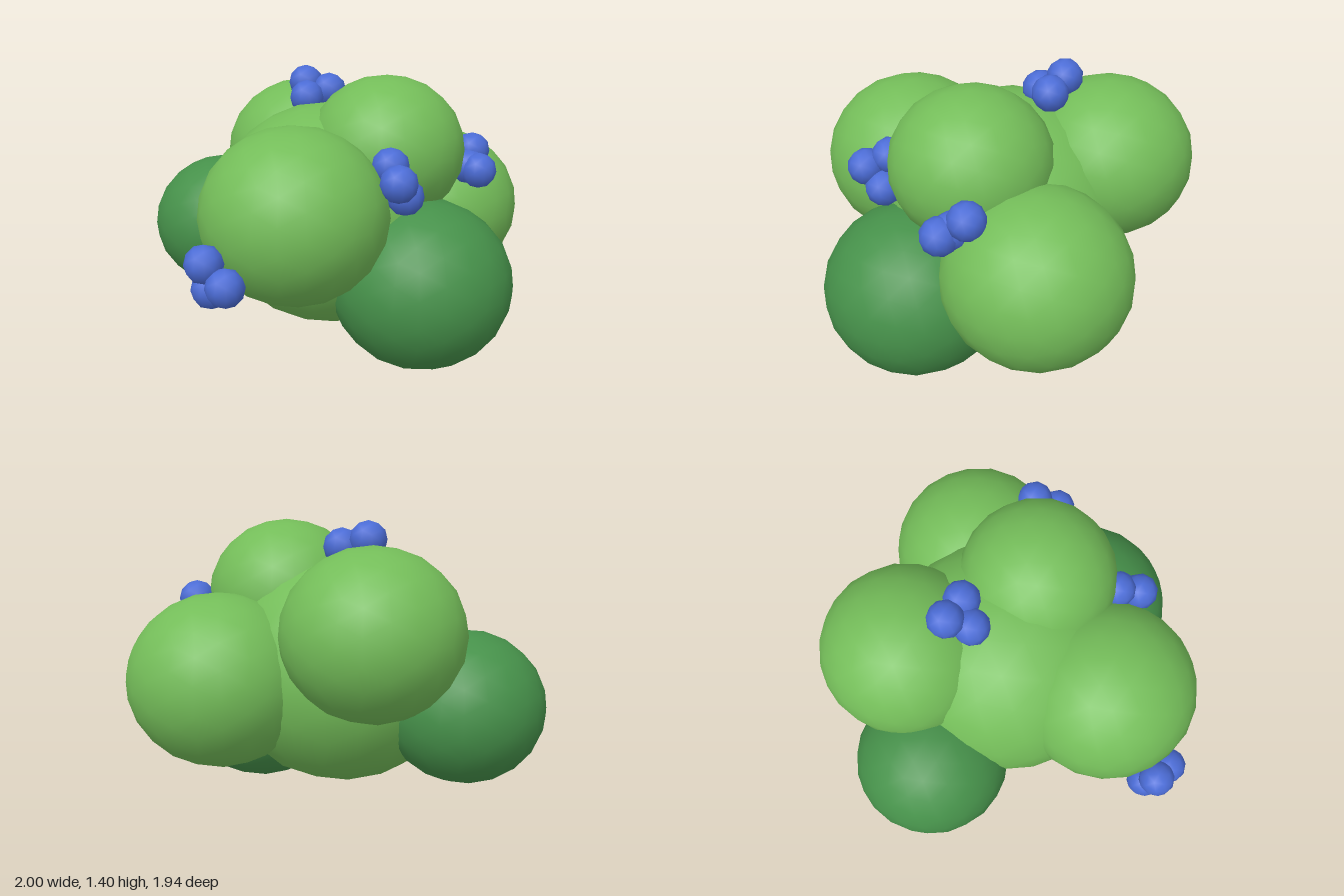
import * as THREE from 'three';

const material = (color) => new THREE.MeshStandardMaterial({ color });

export function createModel() {
  const model = new THREE.Group();
  model.name = 'berryBush';
  const light = material(0x74bd59);
  const dark = material(0x46914a);
  const blue = material(0x4b6cd6);

  // Leaf lobes: slightly squashed low-poly balls with smooth normals
  const lobeShape = new THREE.IcosahedronGeometry(1, 3);
  const lobes = [
    // name, x, y, z, radius, material
    ['coreFoliage', 0.02, 0.67, -0.1, 0.6, light],
    ['frontLobe', 0.065, 0.79, 0.44, 0.438, light],
    ['topLobe', 0.315, 1.02, -0.1, 0.385, light],
    ['backRightLobe', -0.29, 0.905, -0.475, 0.417, light],
    ['backLeftLobe', 0.45, 0.655, -0.54, 0.435, light],
    ['darkRightLobe', -0.62, 0.54, -0.155, 0.38, dark],
    ['darkLeftLobe', 0.56, 0.41, 0.06, 0.44, dark],
  ];
  for (const [name, x, y, z, r, mat] of lobes) {
    const lobe = new THREE.Mesh(lobeShape, mat);
    lobe.name = name;
    lobe.position.set(x, y, z);
    lobe.scale.set(r, r * 0.94, r);
    model.add(lobe);
  }

  // Berries in bunches of three
  const berryShape = new THREE.IcosahedronGeometry(0.088, 1);
  const bunches = {
    topBerries: [[-0.19, 1.305, -0.28], [-0.06, 1.27, -0.28], [-0.14, 1.24, -0.18]],
    frontBerries: [[-0.165, 0.66, 0.86], [-0.165, 0.53, 0.81], [-0.055, 0.575, 0.88]],
    leftFrontBerries: [[0.46, 1.015, 0.26], [0.53, 0.96, 0.35], [0.53, 0.88, 0.25]],
    leftBackBerries: [[0.75, 0.92, -0.24], [0.69, 1.0, -0.34], [0.69, 0.93, -0.27]],
  };
  for (const [name, spots] of Object.entries(bunches)) {
    const bunch = new THREE.Group();
    bunch.name = name;
    for (const spot of spots) {
      const berry = new THREE.Mesh(berryShape, blue);
      berry.name = 'berry';
      berry.position.set(...spot);
      bunch.add(berry);
    }
    model.add(bunch);
  }
  return model;
}
